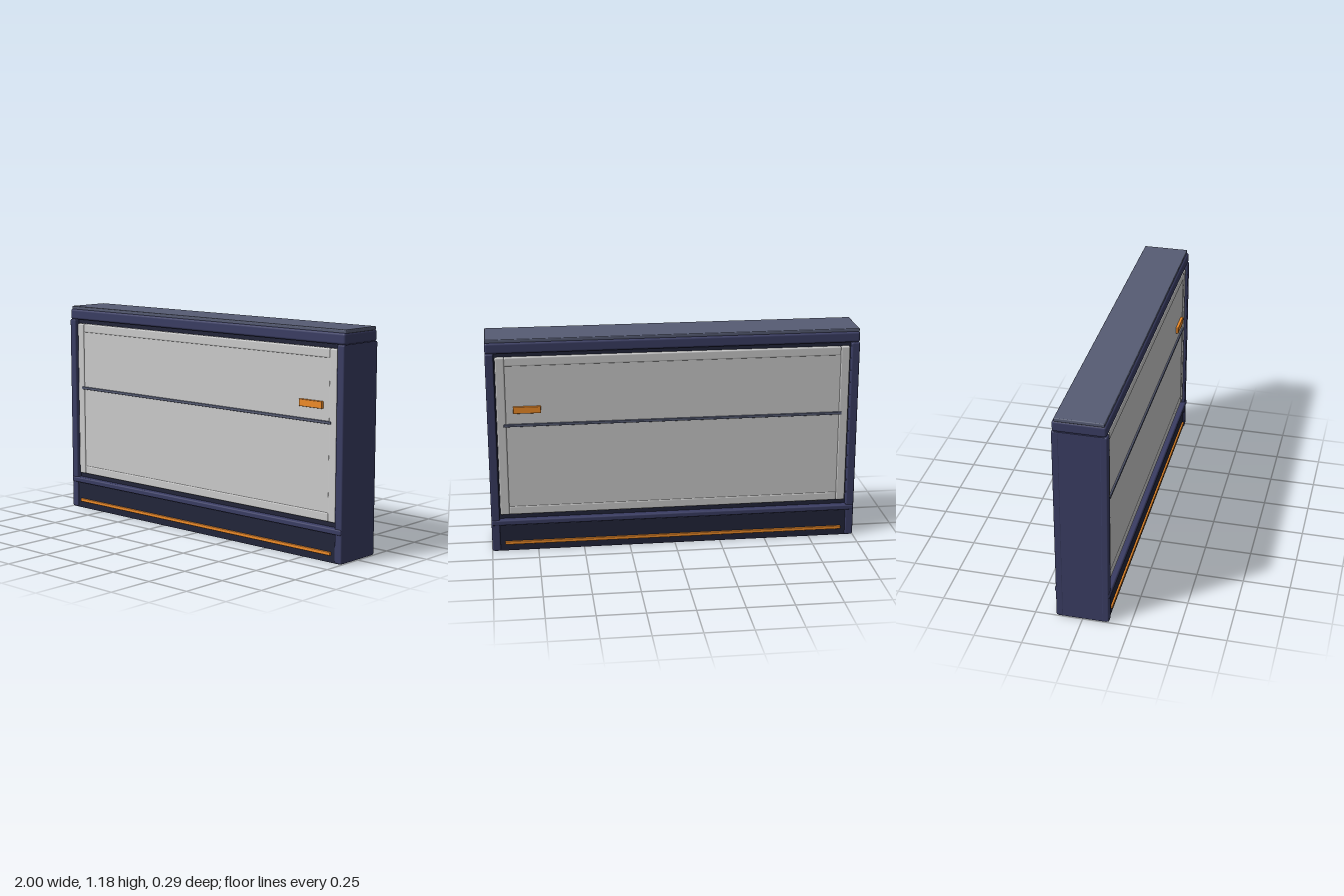
import * as THREE from 'three';
import { RoundedBoxGeometry } from 'three/addons/geometries/RoundedBoxGeometry.js';

const mat = (color) => new THREE.MeshStandardMaterial({ color });

export function createModel() {
  const group = new THREE.Group();
  const navy = mat(0x3a3d63);
  const dark = mat(0x22253a);
  const slate = mat(0x565c74);
  const orange = mat(0xf08c28);
  const grey = mat(0xcccccc);

  // Box given by its limits on each axis, with an optional edge radius
  const box = (name, material, [x0, x1], [y0, y1], [z0, z1], radius = 0) => {
    const size = [x1 - x0, y1 - y0, z1 - z0];
    const geometry = radius
      ? new RoundedBoxGeometry(...size, 3, radius)
      : new THREE.BoxGeometry(...size);
    const mesh = new THREE.Mesh(geometry, material);
    mesh.name = name;
    mesh.position.set((x0 + x1) / 2, (y0 + y1) / 2, (z0 + z1) / 2);
    group.add(mesh);
  };
  // Mirrored limits for the -1 side
  const span = (s, a, b) => (s > 0 ? [a, b] : [-b, -a]);

  // Core, plinth and capping
  box('core', dark, [-0.96, 0.96], [0.1, 1.12], [-0.11, 0.11]);
  box('plinth', dark, [-0.99, 0.99], [0, 0.155], [-0.132, 0.132]);
  box('cap', navy, [-1, 1], [1.11, 1.168], [-0.135, 0.135], 0.012);
  box('topPlate', slate, [-0.998, 0.998], [1.165, 1.185], [-0.125, 0.125], 0.005);

  // End walls with rounded corner posts
  for (const s of [-1, 1]) {
    box('endWall', navy, span(s, 0.957, 0.999), [0.003, 1.11], [-0.125, 0.125]);
    for (const f of [-1, 1]) {
      box('cornerPost', navy, span(s, 0.955, 1), [0.002, 1.11], span(f, 0.1, 0.139), 0.008);
    }
  }

  // The same dressing on both faces
  for (const f of [-1, 1]) {
    box('panel', grey, [-0.92, 0.92], [0.22, 1.07], span(f, 0.1, 0.122));
    for (const s of [-1, 1]) {
      box('panelStile', grey, span(s, 0.9, 0.95), [0.205, 1.087], span(f, 0.1, 0.127), 0.008);
    }
    box('panelTopRail', grey, [-0.902, 0.902], [1.037, 1.087], span(f, 0.1, 0.125), 0.008);
    box('panelBottomRail', grey, [-0.902, 0.902], [0.205, 0.253], span(f, 0.1, 0.125), 0.008);
    box('ledge', navy, [-0.998, 0.998], [0.15, 0.18], span(f, 0.1, 0.144), 0.008);
    box('panelBar', slate, [-0.915, 0.915], [0.705, 0.72], span(f, 0.115, 0.131), 0.003);
    box('plinthStripe', orange, [-0.93, 0.93], [0.037, 0.055], span(f, 0.125, 0.142), 0.003);
    box('handle', orange, [0.715, 0.862], [0.78, 0.817], span(f, 0.115, 0.137), 0.003);
  }
  return group;
}
